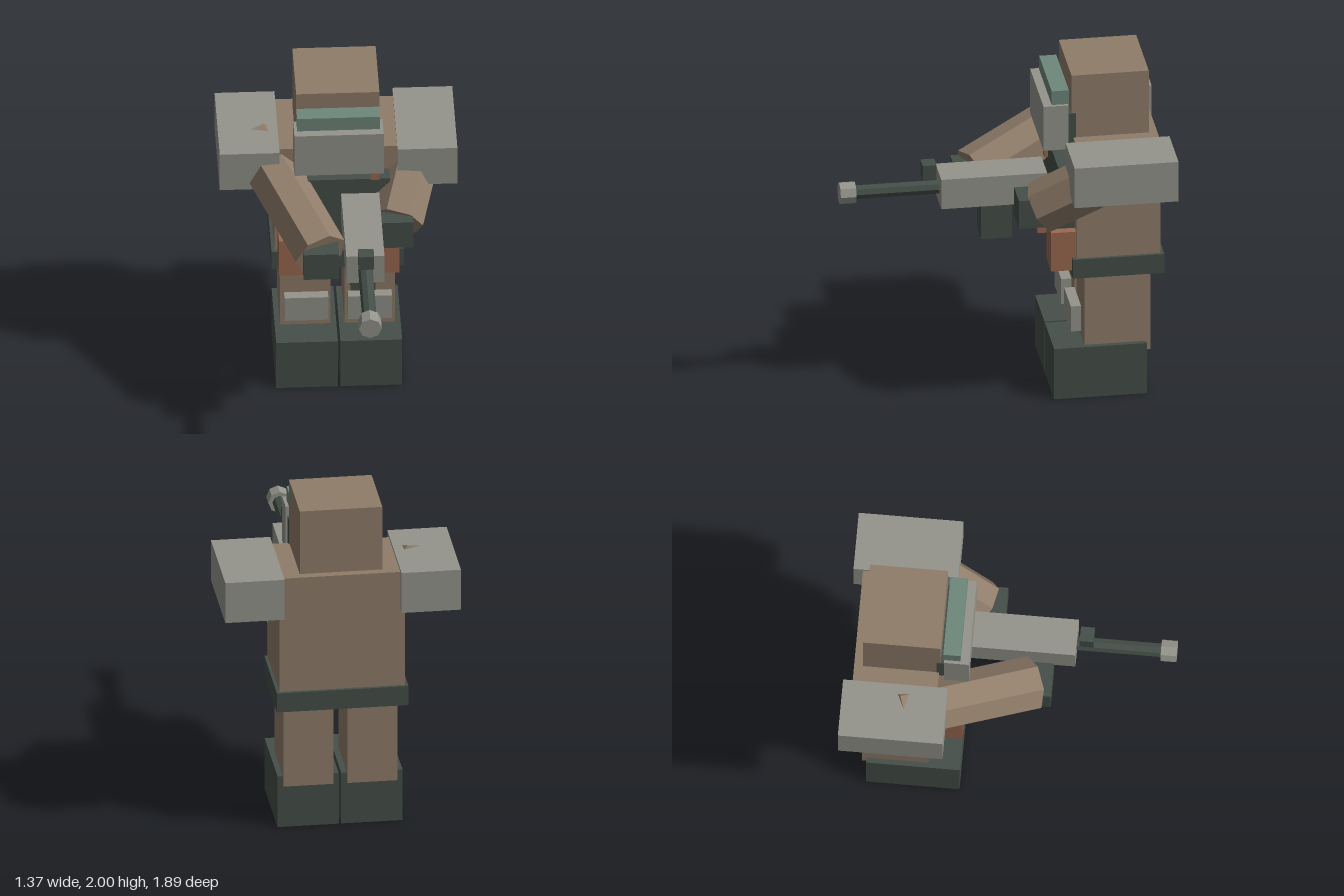
import * as THREE from 'three';

export function createModel() {
  const model = new THREE.Group();
  model.name = 'blockySoldier';

  const material = (name, color) => {
    const m = new THREE.MeshStandardMaterial({ color, flatShading: true });
    m.name = name;
    return m;
  };
  const cloth = material('brown cloth', 0x907d6a);
  const armour = material('grey armour', 0x95958d);
  const dark = material('dark green gear', 0x454f49);
  const leather = material('rust leather', 0x9b6850);
  const lens = material('teal lens', 0x6f877b);

  const add = (name, geometry, mat) => {
    const mesh = new THREE.Mesh(geometry, mat);
    mesh.name = name;
    model.add(mesh);
    return mesh;
  };
  // Box given by its extents along each axis
  const box = (name, mat, [x0, x1], [y0, y1], [z0, z1]) =>
    add(name, new THREE.BoxGeometry(x1 - x0, y1 - y0, z1 - z0), mat)
      .position.set((x0 + x1) / 2, (y0 + y1) / 2, (z0 + z1) / 2);
  // The same box on both sides, given for the left side
  const pair = (name, mat, [x0, x1], y, z) => {
    box('left' + name, mat, [x0, x1], y, z);
    box('right' + name, mat, [-x1, -x0], y, z);
  };
  // Faceted rod between two points
  const rod = (name, mat, from, to, radius, sides, start = 0) => {
    const a = new THREE.Vector3(...from), b = new THREE.Vector3(...to);
    const geometry = new THREE.CylinderGeometry(radius, radius, a.distanceTo(b), sides, 1, false, start);
    geometry.rotateX(Math.PI / 2);
    const mesh = add(name, geometry, mat);
    mesh.position.copy(a).lerp(b, 0.5);
    mesh.lookAt(b);
  };

  // Legs, boots and knee pads
  pair('Leg', cloth, [0.04, 0.332], [0.265, 0.8], [-0.835, -0.45]);
  pair('Boot', dark, [0.007, 0.363], [0, 0.32], [-0.81, -0.27]);
  pair('KneePad', armour, [0.057, 0.31], [0.4, 0.56], [-0.435, -0.375]);

  // Torso with belt, vest and pouches
  box('torso', cloth, [-0.367, 0.362], [0.78, 1.605], [-0.89, -0.4]);
  box('belt', dark, [-0.385, 0.38], [0.77, 0.89], [-0.91, -0.377]);
  box('chestVest', dark, [-0.3, 0.295], [1.015, 1.447], [-0.41, -0.303]);
  pair('Pouch', leather, [0.166, 0.348], [0.81, 1.055], [-0.4, -0.255]);

  // Head with mask and goggles
  box('head', cloth, [-0.242, 0.238], [1.56, 2], [-0.84, -0.39]);
  box('faceCover', dark, [-0.243, 0.243], [1.56, 1.76], [-0.415, -0.365]);
  box('mask', armour, [-0.26, 0.255], [1.54, 1.82], [-0.37, -0.225]);
  box('goggles', lens, [-0.242, 0.236], [1.81, 1.907], [-0.375, -0.275]);
  box('maskTab', leather, [0.18, 0.23], [1.488, 1.6], [-0.253, -0.233]);

  // Shoulders, arms and hands
  pair('ShoulderPad', armour, [0.34, 0.685], [1.37, 1.622], [-0.945, -0.34]);
  rod('rightArm', cloth, [-0.47, 1.49, -0.635], [-0.127, 1.235, 0.13], 0.16, 7, -Math.PI / 2);
  rod('leftArm', cloth, [0.465, 1.485, -0.64], [0.325, 1.215, -0.2], 0.16, 7, Math.PI / 2);
  box('rightHand', dark, [-0.23, -0.025], [1.14, 1.315], [0.045, 0.245]);
  box('leftHand', dark, [0.21, 0.417], [1.13, 1.307], [-0.26, -0.057]);

  // Blaster
  box('receiver', armour, [0.01, 0.23], [1.198, 1.385], [-0.25, 0.367]);
  box('magazine', dark, [0.047, 0.19], [0.97, 1.21], [-0.05, 0.13]);
  box('sight', dark, [0.076, 0.166], [1.36, 1.45], [0.385, 0.465]);
  rod('barrel', dark, [0.12, 1.29, 0.3], [0.12, 1.29, 0.87], 0.042, 8);
  rod('muzzle', armour, [0.12, 1.29, 0.853], [0.12, 1.29, 0.945], 0.066, 8);

  return model;
}
